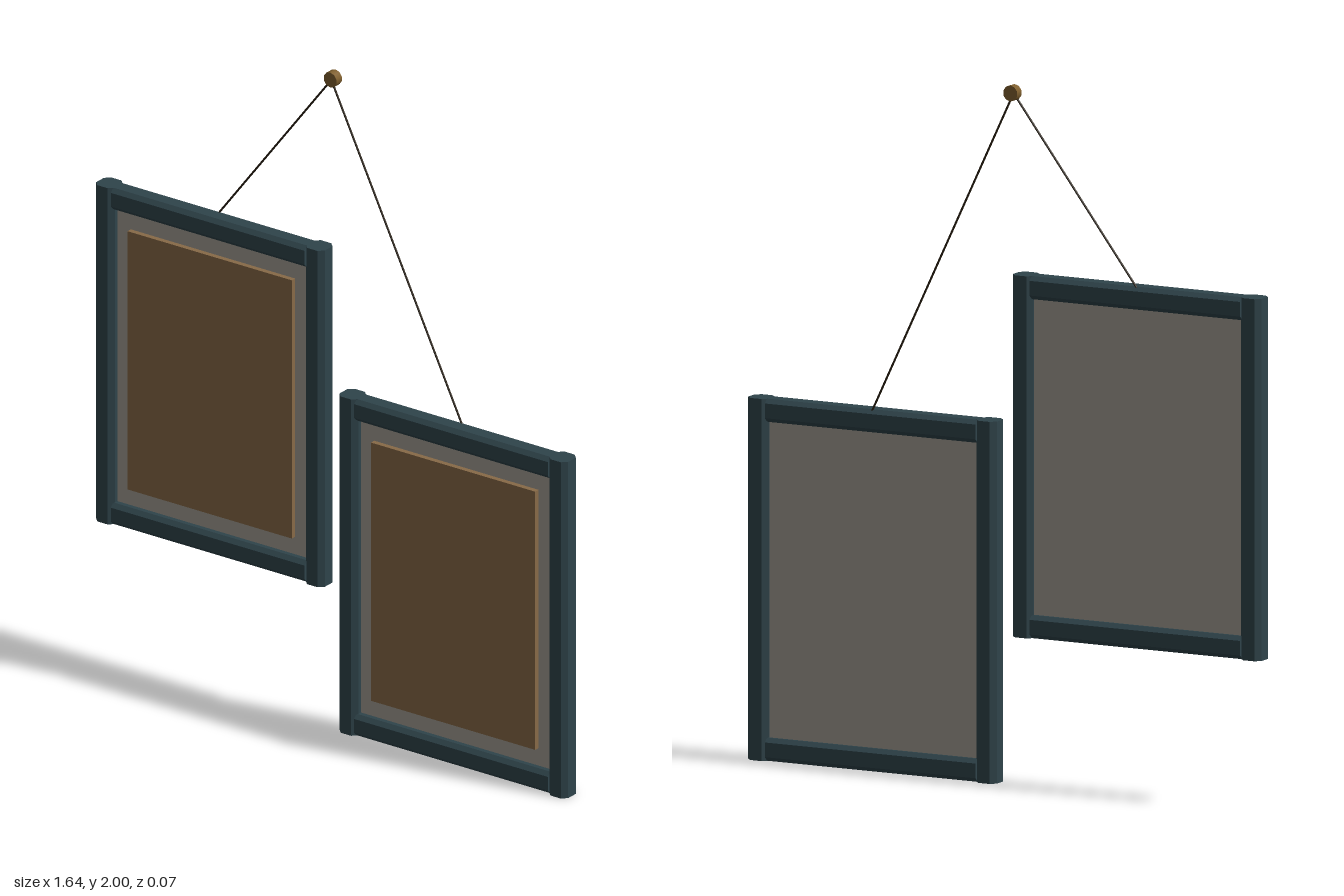
import * as THREE from 'three';

const W = 0.796, H = 1.034, BAR = 0.066;

const paint = (color) => new THREE.MeshStandardMaterial({ color });
const frameMat = paint(0x2f444b);
const boardMat = paint(0xa39e94);
const pictureMat = paint(0x886a47);
const cordMat = paint(0x2a2012);
const pegMat = paint(0x80602f);

function add(parent, name, geometry, material, x = 0, y = 0, z = 0) {
  const mesh = new THREE.Mesh(geometry, material);
  mesh.name = name;
  mesh.position.set(x, y, z);
  parent.add(mesh);
  return mesh;
}

// Bar with an eight-sided chamfered section, running along z and centred
function barGeometry(length, w, d, c) {
  const a = w / 2, b = d / 2;
  const section = new THREE.Shape([
    [a, -b + c], [a, b - c], [a - c, b], [-a + c, b],
    [-a, b - c], [-a, -b + c], [-a + c, -b], [a - c, -b],
  ].map(([x, y]) => new THREE.Vector2(x, y)));
  return new THREE.ExtrudeGeometry(section, { depth: length, bevelEnabled: false })
    .translate(0, 0, -length / 2);
}

// One framed picture, centred on its own origin
function framedPicture(name) {
  const g = new THREE.Group();
  g.name = name;
  const stile = barGeometry(H, BAR, BAR, 0.015).rotateX(-Math.PI / 2);
  const rail = barGeometry(W - 2 * BAR + 0.01, BAR, 0.064, 0.012)
    .rotateZ(Math.PI / 2).rotateY(Math.PI / 2);
  for (const s of [-1, 1]) {
    add(g, s > 0 ? 'leftStile' : 'rightStile', stile, frameMat, s * (W - BAR) / 2, 0, 0);
    add(g, s > 0 ? 'topRail' : 'bottomRail', rail, frameMat, 0, s * (H - BAR) / 2, 0);
  }
  // Mount board and raised picture panel
  add(g, 'mountBoard', new THREE.BoxGeometry(W - BAR, H - BAR, 0.02), boardMat, 0, 0, -0.004);
  add(g, 'picturePanel', new THREE.BoxGeometry(0.572, 0.794, 0.018), pictureMat, 0, 0, 0.013);
  return g;
}

export function createModel() {
  const model = new THREE.Group();
  model.name = 'hangingPictures';

  const upper = framedPicture('upperPicture');
  upper.position.set(-0.425, 1.46 - H / 2, 0);
  const lower = framedPicture('lowerPicture');
  lower.position.set(0.422, H / 2, 0);
  model.add(upper, lower);

  // Wall peg
  add(model, 'peg', new THREE.CylinderGeometry(0.023, 0.023, 0.026, 10).rotateX(Math.PI / 2),
    pegMat, -0.025, 1.977, -0.017);

  // Cords from the peg to the middle of each top rail
  const top = new THREE.Vector3(-0.025, 1.975, -0.01);
  const ends = [new THREE.Vector3(-0.43, 1.45, -0.021), new THREE.Vector3(0.424, 1.025, -0.021)];
  ends.forEach((end, i) => {
    add(model, i ? 'lowerCord' : 'upperCord',
      new THREE.TubeGeometry(new THREE.LineCurve3(top, end), 1, 0.003, 6), cordMat);
  });
  return model;
}
